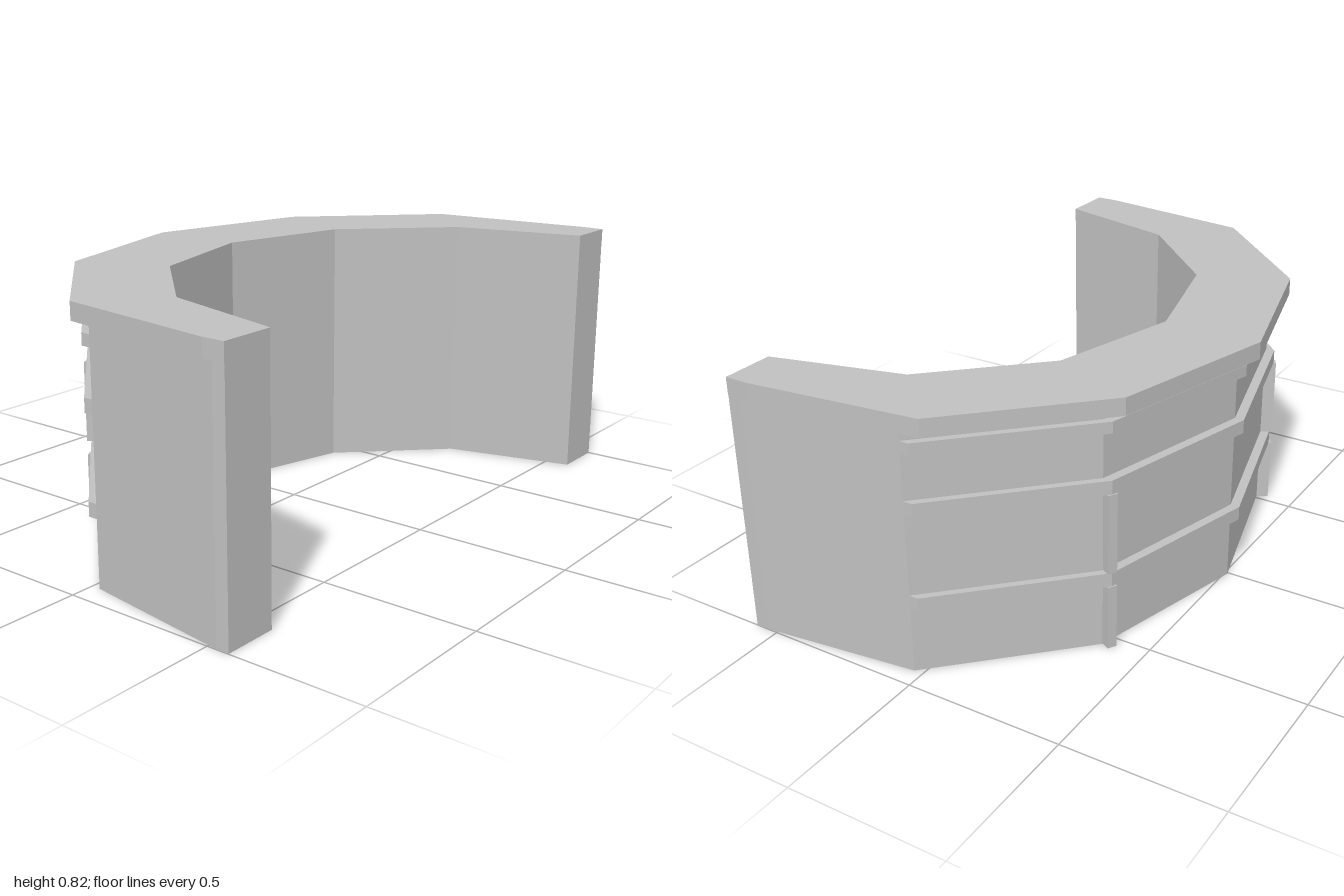
import * as THREE from 'three';

const stone = new THREE.MeshStandardMaterial({ color: 0xc0c0c0 });
stone.name = 'grey stone';

// Plan points are [x, z]; the ring is open towards +x.
const outerCorners = [[-0.04, -0.938], [-0.435, -0.545], [-0.58, -0.007], [-0.435, 0.535], [-0.04, 0.925]];
const innerCorners = [[0.572, 0.825], [0.155, 0.715], [-0.155, 0.41], [-0.265, -0.007], [-0.152, -0.425], [0.16, -0.728], [0.578, -0.832]];

const shifted = (dx) => outerCorners.map(([x, z]) => [x + dx, z]);

// Raises a plan outline from one height to another
function slab(name, points, bottom, top) {
  const shape = new THREE.Shape(points.map(([x, z]) => new THREE.Vector2(x, -z)));
  const geometry = new THREE.ExtrudeGeometry(shape, { depth: top - bottom, bevelEnabled: false });
  geometry.rotateX(-Math.PI / 2);
  geometry.translate(0, bottom, 0);
  const mesh = new THREE.Mesh(geometry, stone);
  mesh.name = name;
  return mesh;
}

export function createModel() {
  const group = new THREE.Group();
  group.name = 'curvedWall';

  // Main wall, stopping under the cornice
  group.add(slab('wall', [
    [0.578, -0.999], [0.53, -0.999], ...shifted(0.07), [0.53, 0.999], [0.572, 0.999], ...innerCorners,
  ], 0, 0.765));

  // Overhanging cornice that dies into the wall ends
  group.add(slab('cornice', [
    [0.578, -1], [0.5, -1], ...outerCorners, [0.5, 1], [0.572, 1], ...innerCorners,
  ], 0.765, 0.82));

  // Three projecting bands, their backs buried in the wall
  const bandPlan = [
    [0.07, -0.93], [0.03, -0.938], ...shifted(0.04), [0.03, 0.925], [0.07, 0.915],
    ...shifted(0.11).reverse(),
  ];
  for (const [bottom, top] of [[0.21, 0.255], [0.512, 0.556], [0.702, 0.738]]) {
    group.add(slab('band', bandPlan, bottom, top));
  }

  // Slim corner posts between the lower bands
  for (const side of [-1, 1]) {
    for (const [bottom, top] of [[0, 0.21], [0.255, 0.512]]) {
      const post = new THREE.Mesh(new THREE.BoxGeometry(0.08, top - bottom, 0.03), stone);
      post.name = 'cornerPost';
      post.position.set(-0.363, (bottom + top) / 2, side * 0.525);
      post.rotation.y = side * Math.PI / 6;
      group.add(post);
    }
  }
  return group;
}
